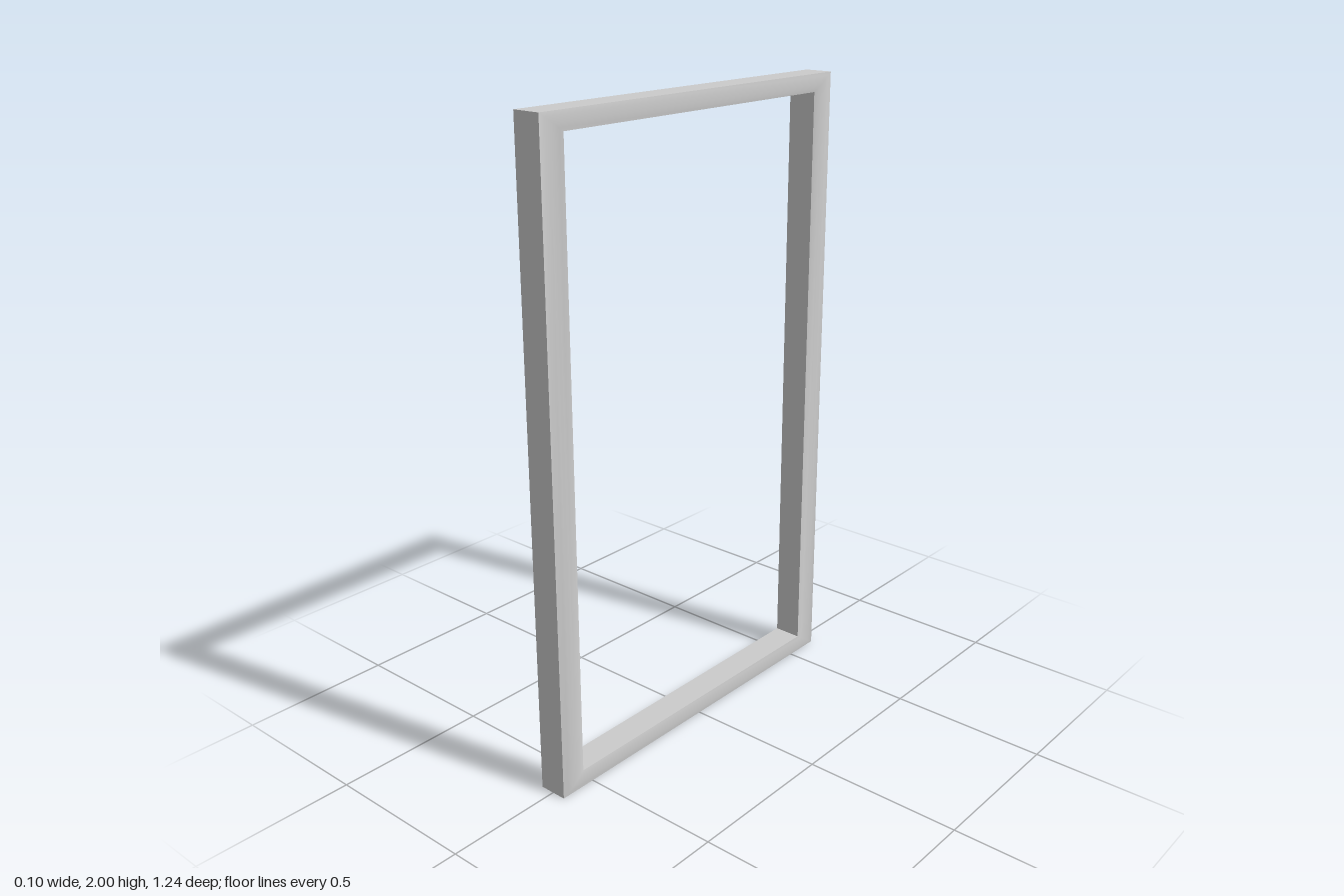
import * as THREE from 'three';
import { toCreasedNormals } from 'three/addons/utils/BufferGeometryUtils.js';

const OUTER = { z: 0.622, y: 1 };
const INNER = { z: 0.538, y: 0.945 };

// Moulding section: [depth from outer rim 0..1, x], gently crowned on both faces
function mouldingSection() {
  const crown = [[0, 0.0455], [0.2, 0.048], [0.4, 0.049], [0.6, 0.049], [0.8, 0.048], [1, 0.0455]];
  const mirrored = crown.map(([t, x]) => [t, -x]).reverse();
  return [...crown, ...mirrored];
}

// Sweep the section round the four mitred corners
function frameGeometry() {
  const section = mouldingSection();
  const corners = [[1, -1], [1, 1], [-1, 1], [-1, -1]];
  const n = section.length;
  const positions = [];
  const index = [];
  corners.forEach(([sz, sy], k) => {
    section.forEach(([t, x], i) => {
      positions.push(
        x,
        1 + sy * THREE.MathUtils.lerp(OUTER.y, INNER.y, t),
        sz * THREE.MathUtils.lerp(OUTER.z, INNER.z, t)
      );
      const a = k * n + i;
      const b = k * n + (i + 1) % n;
      const c = ((k + 1) % 4) * n + (i + 1) % n;
      const d = ((k + 1) % 4) * n + i;
      index.push(a, b, c, a, c, d);
    });
  });
  const geometry = new THREE.BufferGeometry();
  geometry.setAttribute('position', new THREE.Float32BufferAttribute(positions, 3));
  geometry.setIndex(index);
  return toCreasedNormals(geometry, Math.PI / 6);
}

export function createModel() {
  const group = new THREE.Group();
  group.name = 'rectangularFrame';
  const frame = new THREE.Mesh(frameGeometry(), new THREE.MeshStandardMaterial({ color: 0xcccccc }));
  frame.name = 'frameMoulding';
  group.add(frame);
  return group;
}
